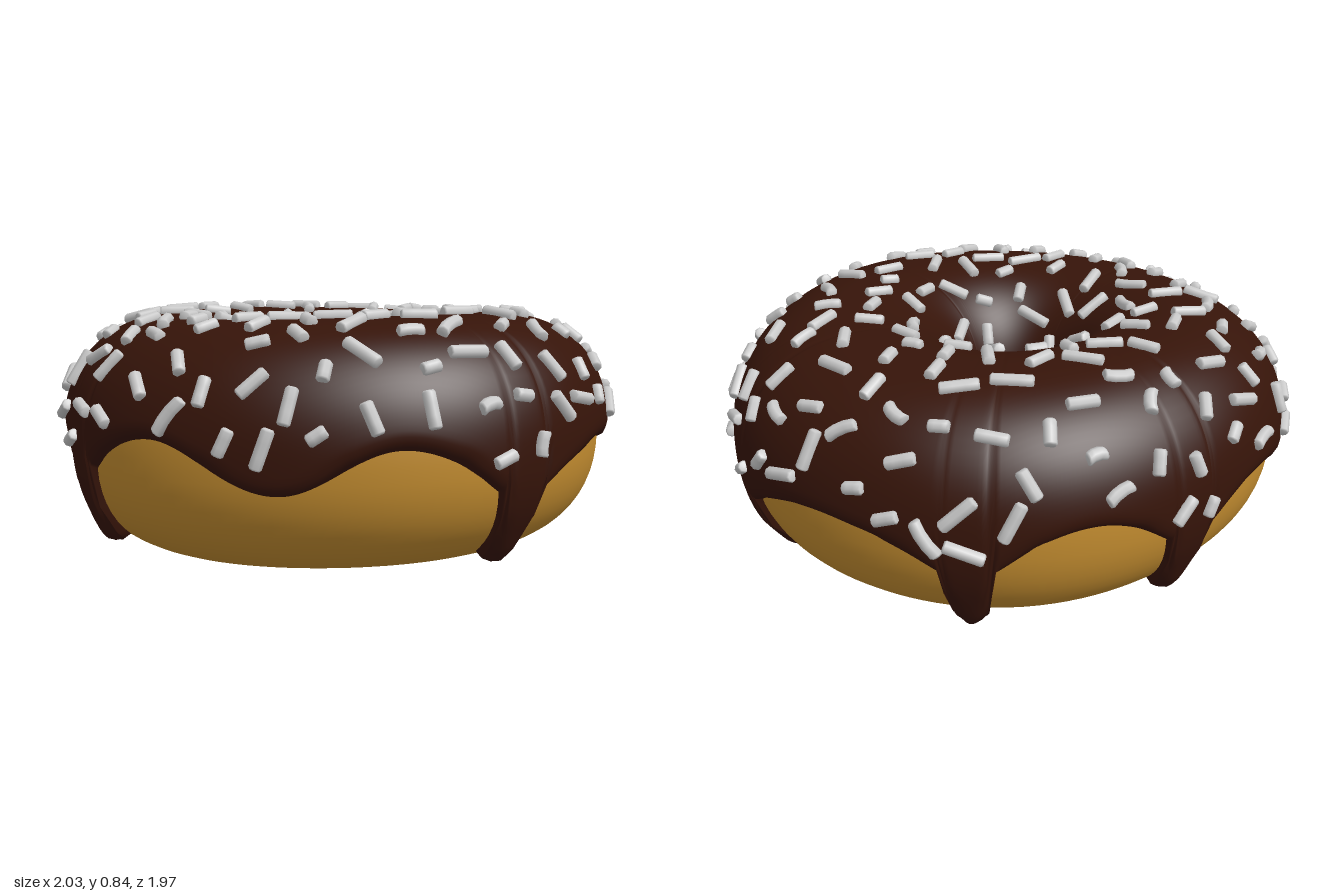
import * as THREE from 'three';
import { mergeGeometries } from 'three/addons/utils/BufferGeometryUtils.js';

const R = 0.575, A = 0.378, B = 0.375, MID = 0.386, P = 0.87, THICK = 0.036;
const RAD = Math.PI / 180;
const signedPow = (v, p) => Math.sign(v) * Math.abs(v) ** p;

// Point of the ring: phi runs round the ring (0 = front), theta round the tube (0 = outside)
function ringPoint(phi, theta, offset = 0) {
  const c = Math.cos(theta), s = Math.sin(theta);
  const n = new THREE.Vector2(signedPow(c, 2 - P) / A, signedPow(s, 2 - P) / B).normalize();
  let r = R + A * signedPow(c, P) + n.x * offset;
  const outer = THREE.MathUtils.smoothstep(r, 0.2, 0.9);
  r *= 1 + outer * (0.008 * Math.sin(3 * phi + 1) + 0.006 * Math.sin(5 * phi));
  const x = r * Math.sin(phi) - 0.03 * (1 - outer) - 0.005;
  const z = r * Math.cos(phi) * (1 - 0.02 * outer) - 0.005;
  const y = MID + B * signedPow(s, P) + n.y * offset
    + 0.014 * z + 0.008 * Math.sin(2 * phi + 0.6);
  return new THREE.Vector3(x, y, z);
}

// Smooth grid surface closed round the ring; optionally closed round the tube too
function gridSurface(cols, rows, closed, point) {
  const pos = [], index = [], n = closed ? rows : rows + 1;
  for (let i = 0; i < cols; i++)
    for (let j = 0; j < n; j++) pos.push(...point(i, j).toArray());
  for (let i = 0; i < cols; i++)
    for (let j = 0; j < rows; j++) {
      const i2 = (i + 1) % cols, j2 = (j + 1) % n;
      const a = i * n + j, b = i2 * n + j, c = i2 * n + j2, d = i * n + j2;
      index.push(a, b, c, a, c, d);
    }
  const geo = new THREE.BufferGeometry();
  geo.setAttribute('position', new THREE.Float32BufferAttribute(pos, 3));
  geo.setIndex(index);
  geo.computeVertexNormals();
  return geo;
}

// Wavy lower edge of the icing: [degrees, height], and drips: [degrees, tip height]
const WAVE = [[-166, 0.33], [-145, 0.38], [-119, 0.31], [-94, 0.43], [-73, 0.36], [-50, 0.45],
  [-24, 0.3], [-2, 0.43], [22, 0.31], [52, 0.38], [91, 0.3], [122, 0.4], [150, 0.33], [172, 0.42]];
const DRIPS = [[22, 0.06], [91, 0.04], [150, 0.08], [-166, 0.075], [-73, 0.08]];
const angleGap = (a, b) => ((a - b + 540) % 360 + 360) % 360 - 180;

function edgeHeight(deg) {
  const d = deg >= WAVE[0][0] + 360 ? deg - 360 : deg;
  const k = WAVE.findLastIndex(w => w[0] <= d);
  const [d0, y0] = WAVE[k];
  const [d1, y1] = k + 1 < WAVE.length ? WAVE[k + 1] : [WAVE[0][0] + 360, WAVE[0][1]];
  let y = y0 + (y1 - y0) * (0.5 - 0.5 * Math.cos(Math.PI * (d - d0) / (d1 - d0)));
  for (const [at, tip] of DRIPS) {
    const g = Math.abs(angleGap(d, at));
    const narrow = Math.exp(-((g / 4.6) ** 8)), wide = Math.exp(-((g / 7.5) ** 2));
    y += (tip - y) * Math.max(narrow, 0.25 * wide);
  }
  return y;
}
const thetaAt = y => Math.asin(signedPow((y - MID) / B, 1 / P));

function icingGeometry() {
  const cols = 450, rows = 54, step = 360 / cols, span = 8;
  const edge = Array.from({ length: cols }, (_, i) => thetaAt(edgeHeight(i * step)));
  return gridSurface(cols, rows, false, (i, j) => {
    const deg = i * step, t = j / rows;
    const inner = Math.PI + 0.2 + 0.06 * Math.sin(4 * deg * RAD);
    const theta = edge[i] + (inner - edge[i]) * (0.45 * t + 0.55 * t * t * (3 - 2 * t));
    // Rounded rim: thickness grows with the distance to the nearest edge
    let dist = Math.max(0, inner - theta) * 0.38;
    for (let k = -span; k <= span; k++) {
      const e = edge[(i + k + cols) % cols];
      const across = k * step * RAD * 0.87;
      dist = Math.min(dist, Math.hypot(across, Math.max(0, theta - e) * 0.38));
    }
    const q = 1 - Math.min(dist / 0.045, 1);
    let offset = (THICK + 0.004) * Math.sqrt(1 - q * q) - 0.004;
    // Heavier drop at the tip of each drip
    for (const [at, tip] of DRIPS) {
      const across = angleGap(deg, at) * RAD * 0.85;
      const along = (theta - thetaAt(tip) - 0.14) * 0.38;
      offset += 0.02 * (1 - q) * Math.exp(-((across / 0.06) ** 2) - (along / 0.08) ** 2);
    }
    return ringPoint(deg * RAD, theta, offset);
  });
}

// Short rod with bevelled ends, optionally bent
function sprinkleGeometry(length, bend) {
  const r = 0.021, h = length / 2;
  const profile = [[0, -h], [r * 0.75, -h], [r, -h + 0.006], [r, -h / 3],
    [r, h / 3], [r, h - 0.006], [r * 0.75, h], [0, h]].map(p => new THREE.Vector2(...p));
  const geo = new THREE.LatheGeometry(profile, 8);
  const p = geo.attributes.position;
  for (let i = 0; i < p.count; i++) p.setX(i, p.getX(i) + bend * (p.getY(i) / h) ** 2);
  return geo;
}

function sprinklesGeometry() {
  let seed = 7;
  const rand = () => (seed = (seed * 16807) % 2147483647) / 2147483647;
  const placed = [], parts = [];
  for (let tries = 0; tries < 6000 && parts.length < 180; tries++) {
    const phi = rand() * 2 * Math.PI, theta = rand() * 158 * RAD;
    const turn = rand() * Math.PI, length = 0.06 + 0.075 * rand();
    const bend = rand() < 0.25 ? 0.009 : 0;
    // Even spread over the area, clear of the wavy lower edge
    if (rand() > (R + A * Math.cos(theta)) / 0.95) continue;
    if (theta < thetaAt(edgeHeight(phi / RAD)) + 0.2) continue;
    const at = ringPoint(phi, theta, THICK + 0.006);
    if (placed.some(q => q.distanceTo(at) < 0.118)) continue;
    placed.push(at);
    // Lie flat on the icing, turned at random
    const u = ringPoint(phi + 0.01, theta, THICK).sub(ringPoint(phi - 0.01, theta, THICK)).normalize();
    const w = ringPoint(phi, theta + 0.01, THICK).sub(ringPoint(phi, theta - 0.01, THICK)).normalize();
    const normal = u.clone().cross(w).normalize();
    const along = u.multiplyScalar(Math.cos(turn)).addScaledVector(w, Math.sin(turn)).normalize();
    const side = along.clone().cross(normal).normalize();
    const m = new THREE.Matrix4().makeBasis(side, along, normal).setPosition(at);
    parts.push(sprinkleGeometry(length, bend).applyMatrix4(m));
  }
  return mergeGeometries(parts);
}

export function createModel() {
  const group = new THREE.Group();
  const add = (name, geo, color) => {
    const mesh = new THREE.Mesh(geo, new THREE.MeshStandardMaterial({ color }));
    mesh.name = name;
    group.add(mesh);
  };
  const cols = 112, rows = 56;
  add('dough', gridSurface(cols, rows, true, (i, j) =>
    ringPoint(i / cols * 2 * Math.PI, j / rows * 2 * Math.PI)), 0xc48d30);
  add('icing', icingGeometry(), 0x361409);
  add('sprinkles', sprinklesGeometry(), 0xcccccc);
  return group;
}
